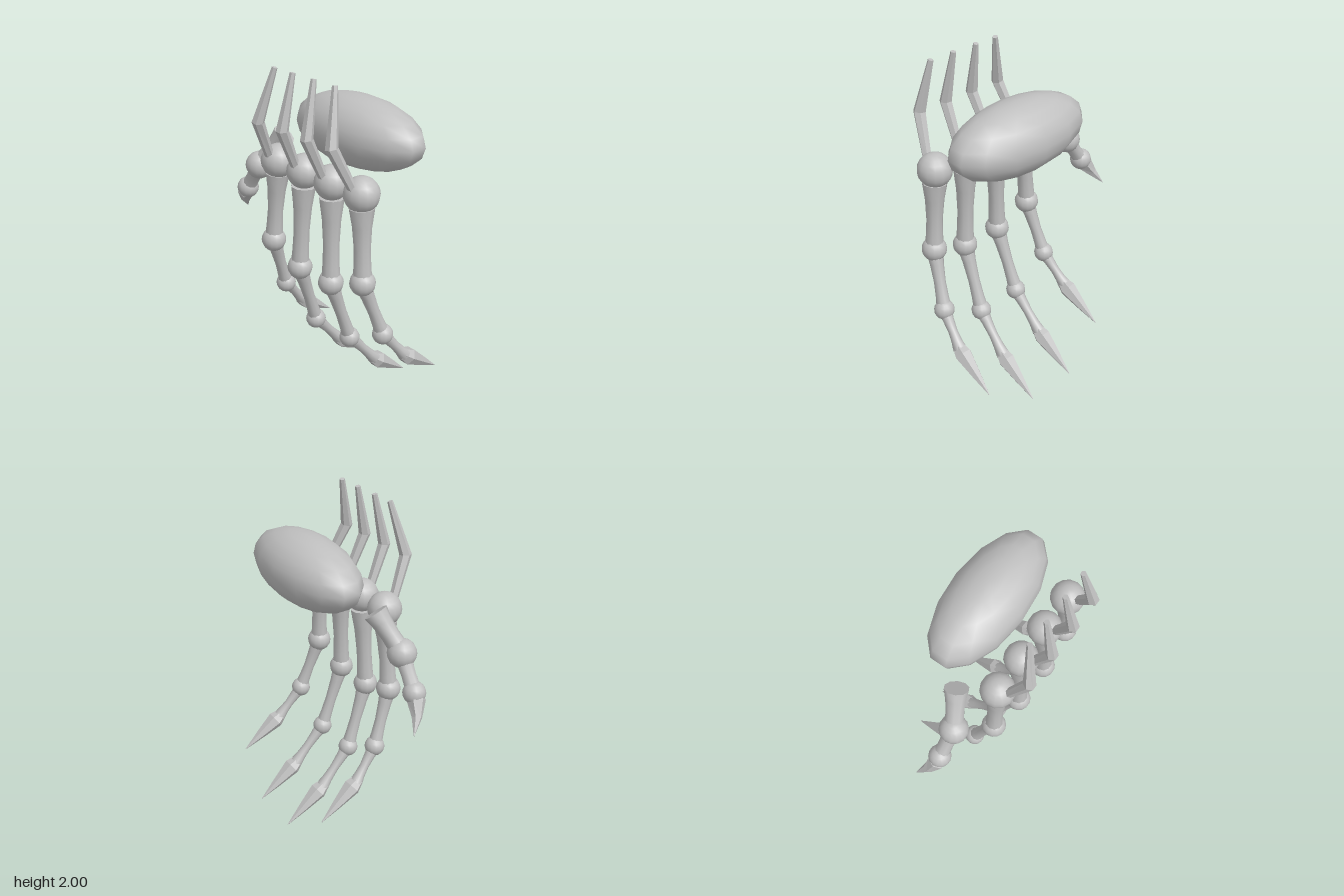
import * as THREE from 'three';
import { toCreasedNormals } from 'three/addons/utils/BufferGeometryUtils.js';

const V = (p) => new THREE.Vector3(...p);
const mix = (a, b, t) => a.map((v, i) => v + (b[i] - v) * t);

// Capped tube through a few points, with one radius per point
function loft(points, radii, sides, crease) {
  const pts = points.map(V), pos = [], idx = [];
  pts.forEach((p, i) => {
    const a = pts[Math.max(i - 1, 0)], b = pts[Math.min(i + 1, pts.length - 1)];
    const t = b.clone().sub(a).normalize();
    const u = new THREE.Vector3(1, 0, 0).addScaledVector(t, -t.x).normalize();
    const v = t.clone().cross(u);
    for (let j = 0; j < sides; j++) {
      const ang = (j / sides) * Math.PI * 2;
      const q = p.clone()
        .addScaledVector(u, Math.cos(ang) * radii[i])
        .addScaledVector(v, Math.sin(ang) * radii[i]);
      pos.push(q.x, q.y, q.z);
    }
  });
  const n = pts.length, start = n * sides, end = start + 1;
  pos.push(...points[0], ...points[n - 1]);
  for (let j = 0; j < sides; j++) {
    const k = (j + 1) % sides;
    for (let i = 0; i < n - 1; i++) {
      const a = i * sides + j, b = i * sides + k;
      idx.push(a, b, a + sides, b, b + sides, a + sides);
    }
    idx.push(start, k, j, end, (n - 1) * sides + j, (n - 1) * sides + k);
  }
  const g = new THREE.BufferGeometry();
  g.setAttribute('position', new THREE.Float32BufferAttribute(pos, 3));
  g.setIndex(idx);
  return toCreasedNormals(g, crease);
}

export function createModel() {
  const hand = new THREE.Group();
  hand.name = 'skeletonHand';
  const bone = new THREE.MeshStandardMaterial({ color: 0xc0c0c0 });
  bone.name = 'boneGrey';

  const add = (parent, name, geometry) => {
    const mesh = new THREE.Mesh(geometry, bone);
    mesh.name = name;
    parent.add(mesh);
    return mesh;
  };
  const ball = (parent, name, p, r) =>
    add(parent, name, new THREE.SphereGeometry(r, 14, 10)).position.set(...p);
  // Shaft with flared ends
  const shaft = (parent, name, a, b, r0, rMid, r1) =>
    add(parent, name, loft(
      [0, 0.25, 0.55, 0.8, 1].map((t) => mix(a, b, t)),
      [r0, (r0 + rMid * 2) / 3, rMid, (rMid * 2 + r1) / 3, r1], 10, 1.0));
  // Faceted claw, widest just past its base
  const claw = (parent, points) =>
    add(parent, 'claw', loft(points, [0.036, 0.054, 0.03, 0.002], 6, 0.05));

  // Palm
  const palm = add(hand, 'palm', new THREE.SphereGeometry(1, 14, 10).rotateY(Math.PI / 2));
  palm.scale.set(0.467, 0.204, 0.22);
  palm.position.set(0.19, 1.617, -0.115);

  // Fingers: joints from knuckle to claw tip, and the spike's bend and top
  const fingers = [
    { name: 'indexFinger', x: [-0.148, -0.19, -0.225, -0.255, -0.272], bend: -0.11, top: -0.038, long: 0 },
    { name: 'middleFinger', x: [0.075, 0.055, 0.037, 0.032, 0.03], bend: 0.092, top: 0.107, long: 1 },
    { name: 'ringFinger', x: [0.3, 0.317, 0.33, 0.344, 0.35], bend: 0.287, top: 0.27, long: 1 },
    { name: 'littleFinger', x: [0.527, 0.557, 0.606, 0.634, 0.65], bend: 0.475, top: 0.428, long: 0 },
  ];
  const yz = [
    [[1.42, 0.188], [0.913, 0.198], [0.567, 0.08], [0.39, -0.06], [0.2, -0.335]],
    [[1.42, 0.188], [0.825, 0.208], [0.418, 0.068], [0.205, -0.115], [0.005, -0.392]],
  ];
  for (const f of fingers) {
    const g = new THREE.Group();
    g.name = f.name;
    hand.add(g);
    const [k, p, d, c, tip] = f.x.map((x, i) => [x, ...yz[f.long][i]]);
    ball(g, 'knuckle', k, 0.1);
    ball(g, 'middleJoint', p, 0.073);
    ball(g, 'endJoint', d, 0.06);
    shaft(g, 'longBone', mix(k, p, 0.15), p, 0.071, 0.046, 0.056);
    shaft(g, 'middleBone', p, d, 0.052, 0.034, 0.045);
    shaft(g, 'endBone', d, mix(c, tip, 0.06), 0.044, 0.027, 0.04);
    claw(g, [c, mix(c, tip, 0.17), mix(c, tip, 0.58), tip]);
    add(g, 'spike', loft(
      [[k[0], 1.45, 0.245], [f.bend, 1.695, 0.355], [f.top, 2, 0.29]],
      [0.026, 0.036, 0.016], 6, 0.05));
  }

  // Thumb
  const thumb = new THREE.Group();
  thumb.name = 'thumb';
  hand.add(thumb);
  const root = [-0.29, 1.5, 0.02], mid = [-0.433, 1.29, 0.098], end = [-0.563, 1.105, 0.09];
  ball(thumb, 'middleJoint', mid, 0.084);
  ball(thumb, 'endJoint', end, 0.066);
  shaft(thumb, 'longBone', root, mid, 0.07, 0.052, 0.06);
  shaft(thumb, 'endBone', mid, end, 0.056, 0.042, 0.05);
  claw(thumb, [[-0.568, 1.1, 0.09], [-0.59, 1.07, 0.085], [-0.638, 0.995, 0.055], [-0.685, 0.92, 0.002]]);

  return hand;
}
